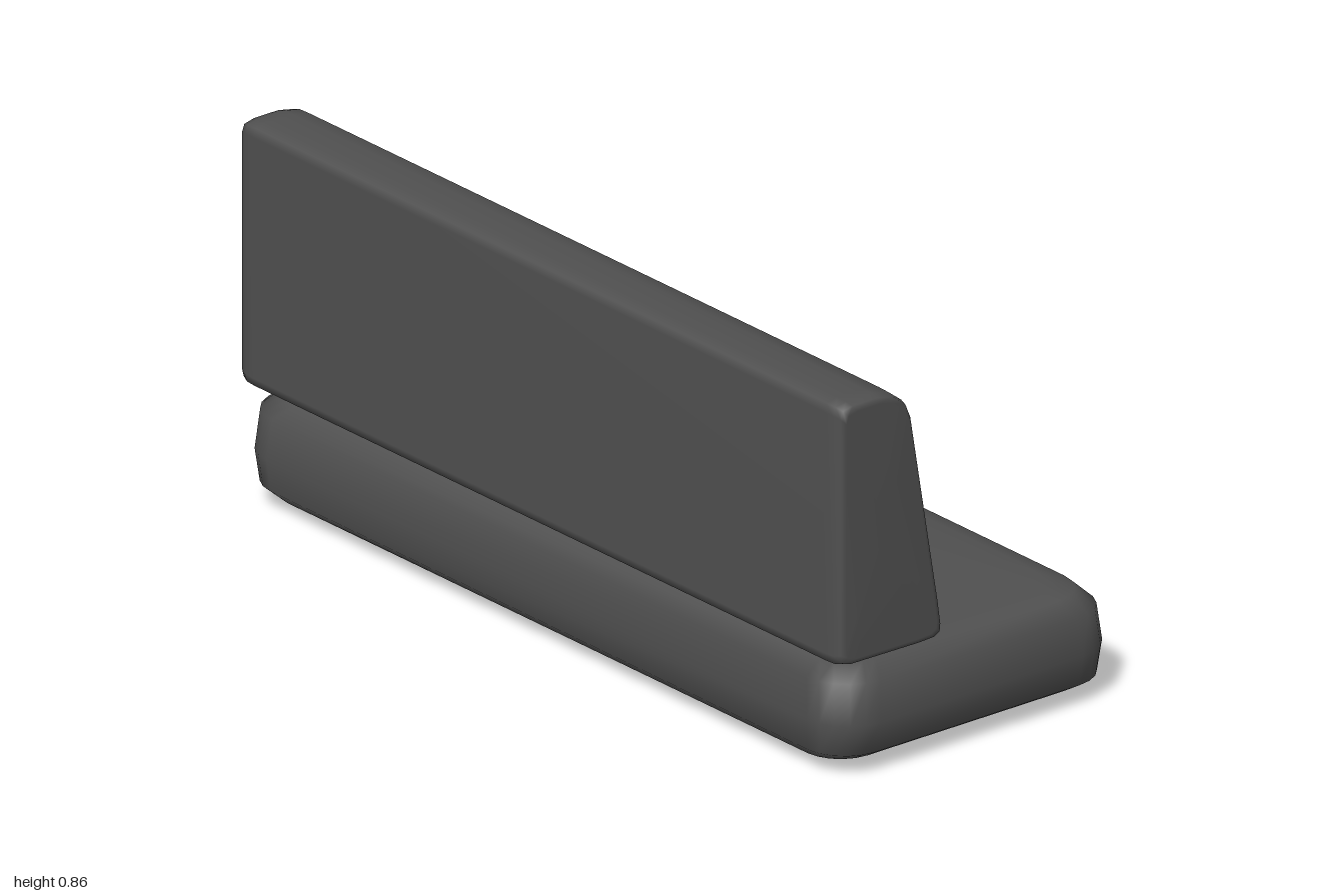
import * as THREE from 'three';

// Skin a closed surface over a list of rings with equal point counts.
function loft(rings) {
  const n = rings[0].length, pos = [], idx = [];
  rings.forEach(r => r.forEach(p => pos.push(p[0], p[1], p[2])));
  for (let i = 0; i < rings.length - 1; i++) {
    for (let j = 0; j < n; j++) {
      const a = i * n + j, b = i * n + (j + 1) % n, c = a + n, d = b + n;
      if (i > 0) idx.push(a, c, b);
      if (i < rings.length - 2) idx.push(b, c, d);
      else if (i === 0) idx.push(b, c, d);
      if (i === 0) continue;
    }
  }
  const g = new THREE.BufferGeometry();
  g.setAttribute('position', new THREE.Float32BufferAttribute(pos, 3));
  g.setIndex(idx);
  g.computeVertexNormals();
  return g;
}

// Rounded rectangle seen from above; the height falls slightly towards the front.
function planRing(hx, hz, r, y, slope) {
  const ring = [], steps = 5;
  [[1, 1], [-1, 1], [-1, -1], [1, -1]].forEach(([sx, sz], q) => {
    for (let k = 0; k <= steps; k++) {
      const t = (q + k / steps) * Math.PI / 2;
      const x = sx * (hx - r) + r * Math.cos(t);
      const z = sz * (hz - r) + r * Math.sin(t);
      ring.push([x, y - slope * x, z]);
    }
  });
  return ring;
}

export function createModel() {
  const group = new THREE.Group();
  const fabric = new THREE.MeshStandardMaterial({ color: 0x505050 });
  const add = (name, geometry) => {
    const mesh = new THREE.Mesh(geometry, fabric);
    mesh.name = name;
    group.add(mesh);
  };

  // Seat cushion: half width, half length, corner radius, height, slope
  add('seatCushion', loft([
    [0, 0, 0, 0, 0],
    [0.18, 0.40, 0.08, 0.003, 0],
    [0.30, 0.86, 0.08, 0.014, 0],
    [0.355, 0.945, 0.09, 0.024, 0],
    [0.378, 0.985, 0.10, 0.048, 0],
    [0.385, 1.00, 0.11, 0.12, 0],
    [0.378, 0.99, 0.11, 0.207, 0.015],
    [0.347, 0.95, 0.10, 0.240, 0.015],
    [0.30, 0.87, 0.08, 0.250, 0.012],
    [0.17, 0.40, 0.08, 0.253, 0.008],
    [0, 0, 0, 0.253, 0],
  ].map(r => planRing(...r))));

  // Backrest: wedge profile swept along z with softened ends
  const profile = [
    [-0.375, 0.285], [-0.37, 0.266], [-0.345, 0.259], [-0.15, 0.257],
    [-0.105, 0.259], [-0.089, 0.268], [-0.087, 0.285], [-0.095, 0.34],
    [-0.174, 0.79], [-0.188, 0.822], [-0.225, 0.85], [-0.27, 0.859],
    [-0.34, 0.859], [-0.368, 0.853], [-0.375, 0.835],
  ];
  const cx = -0.25, cy = 0.55, mid = -0.006;
  const section = (z, sx, sy) =>
    profile.map(([x, y]) => [cx + (x - cx) * sx, cy + (y - cy) * sy, z + mid]);
  const end = [[0.992, 0, 0], [0.992, 0.85, 0.94], [0.986, 0.94, 0.98], [0.968, 0.99, 0.997], [0.94, 1, 1]];
  add('backrest', loft([
    ...end.map(([z, sx, sy]) => section(z, sx, sy)),
    ...end.slice().reverse().map(([z, sx, sy]) => section(-z, sx, sy)),
  ]));

  return group;
}
